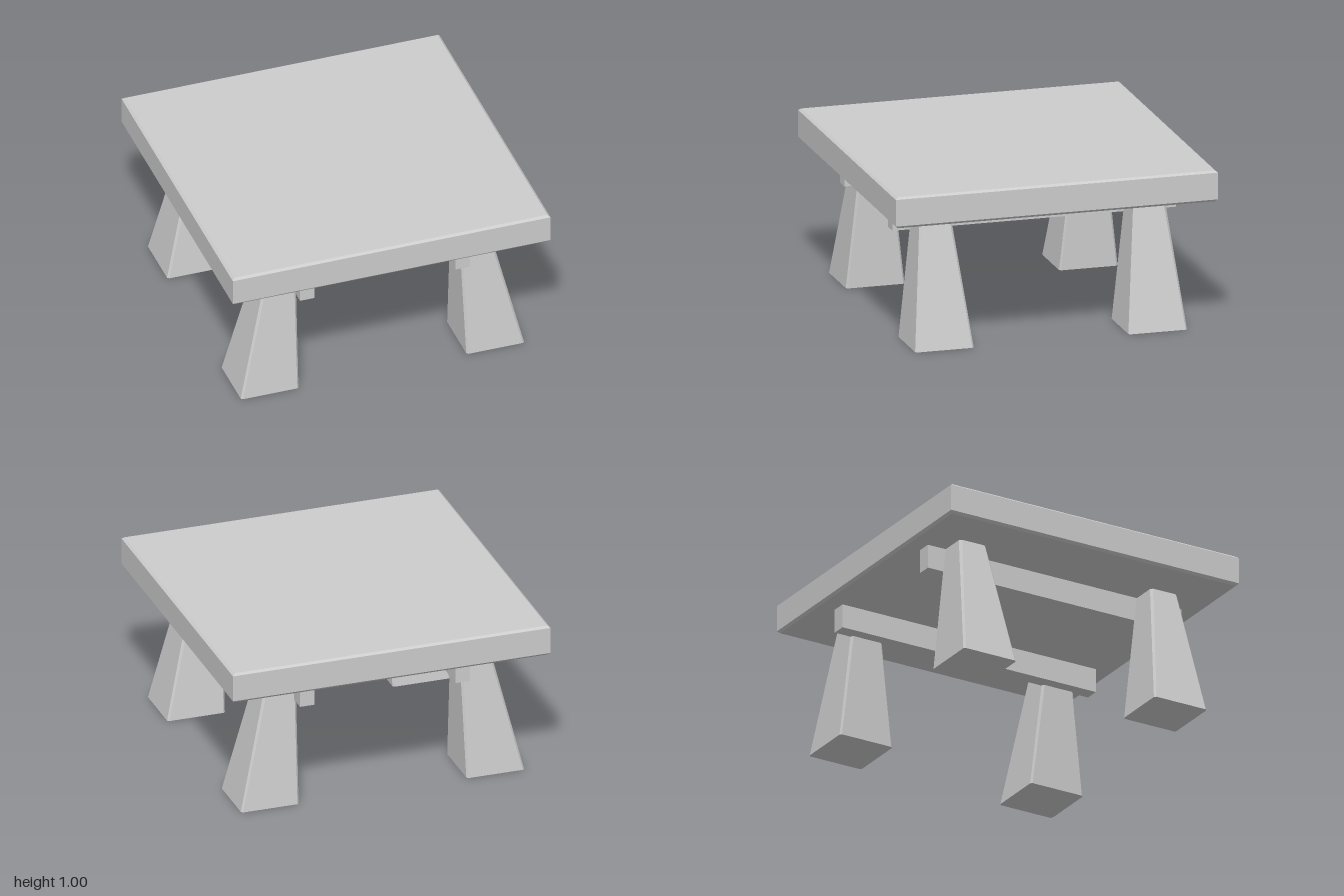
import * as THREE from 'three';

// Closed solid lofted through horizontal rings, listed from bottom to top
function loft(rings) {
  const pos = [];
  const tri = (...points) => points.forEach((p) => pos.push(...p));
  const n = rings[0].length;
  for (let r = 0; r < rings.length - 1; r++) {
    const lo = rings[r], hi = rings[r + 1];
    for (let i = 0; i < n; i++) {
      const j = (i + 1) % n;
      tri(lo[i], lo[j], hi[j]);
      tri(lo[i], hi[j], hi[i]);
    }
  }
  const bottom = rings[0], top = rings[rings.length - 1];
  for (let i = 1; i < n - 1; i++) {
    tri(bottom[0], bottom[i + 1], bottom[i]);
    tri(top[0], top[i], top[i + 1]);
  }
  const geometry = new THREE.BufferGeometry();
  geometry.setAttribute('position', new THREE.Float32BufferAttribute(pos, 3));
  geometry.computeVertexNormals();
  return geometry;
}

// Square ring of half-width h around (cx, cz), with optional corner chamfer c
function squareRing(cx, y, cz, h, c = 0) {
  const corners = c
    ? [[h, c - h], [h - c, -h], [c - h, -h], [-h, c - h], [-h, h - c], [c - h, h], [h - c, h], [h, h - c]]
    : [[h, -h], [-h, -h], [-h, h], [h, h]];
  return corners.map(([x, z]) => [cx + x, y, cz + z]);
}

export function createModel() {
  const model = new THREE.Group();
  model.name = 'table';
  const grey = new THREE.MeshStandardMaterial({ color: 0xcccccc, flatShading: true });
  grey.name = 'light grey';

  const add = (name, geometry) => {
    const mesh = new THREE.Mesh(geometry, grey);
    mesh.name = name;
    model.add(mesh);
    return mesh;
  };

  // Thick square top with bevelled upper and lower rims
  add('tabletop', loft([
    squareRing(0, 0.808, 0, 0.985),
    squareRing(0, 0.823, 0, 1),
    squareRing(0, 0.988, 0, 1),
    squareRing(0, 1, 0, 0.985),
  ]));

  for (const sx of [1, -1]) {
    const side = sx > 0 ? 'left' : 'right';

    // Rail under the top, running front to back
    add(`${side}Rail`, new THREE.BoxGeometry(0.09, 0.154, 1.76))
      .position.set(sx * 0.49, 0.735, 0);

    // Splayed, tapering legs with chamfered corners
    for (const sz of [1, -1]) {
      add(`${side}${sz > 0 ? 'Front' : 'Back'}Leg`, loft([
        squareRing(sx * 0.71, 0, sz * 0.662, 0.182, 0.011),
        squareRing(sx * 0.607, 0.812, sz * 0.664, 0.092, 0.015),
      ]));
    }
  }
  return model;
}
